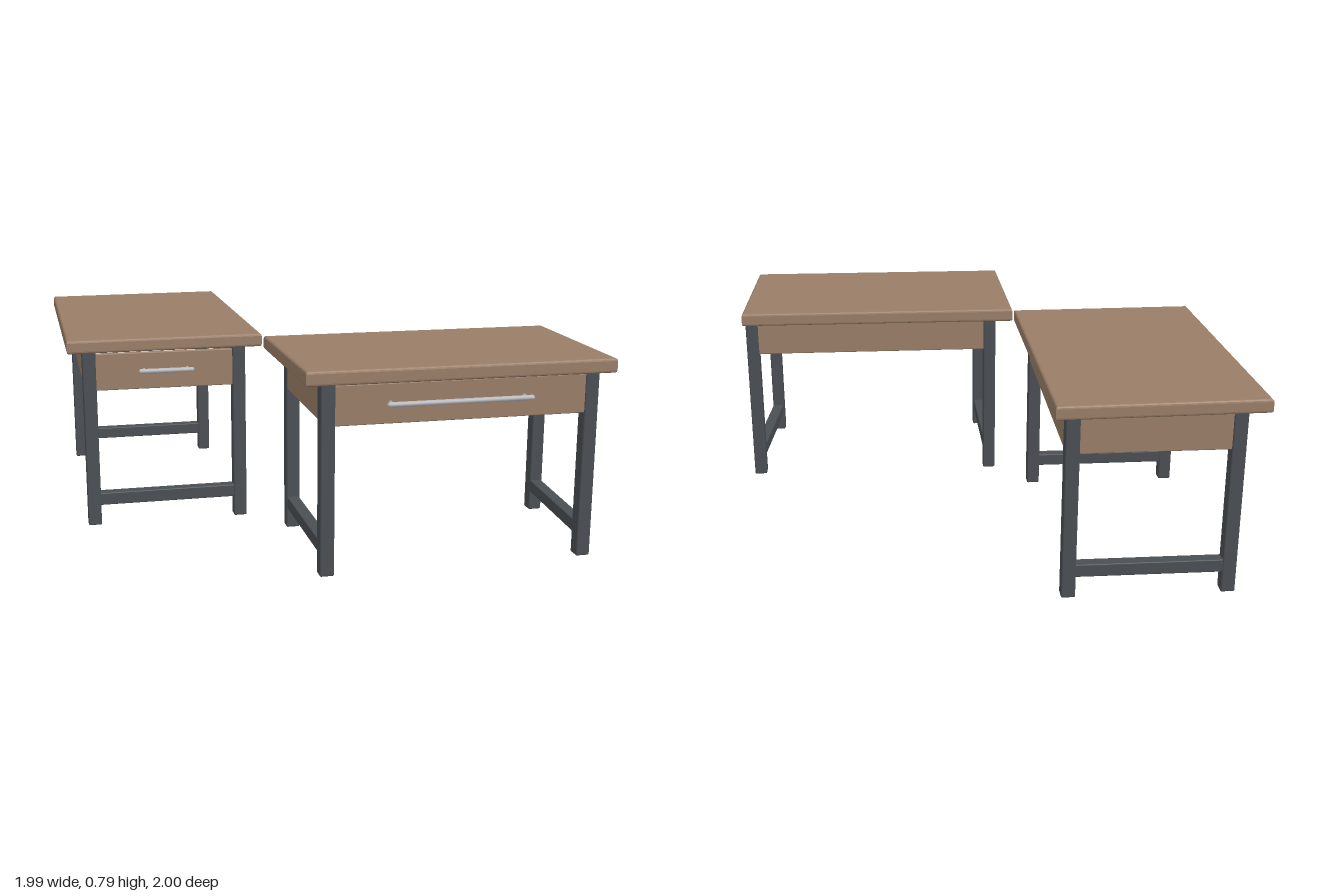
import * as THREE from 'three';
import { RoundedBoxGeometry } from 'three/addons/geometries/RoundedBoxGeometry.js';

const wood = new THREE.MeshStandardMaterial({ color: 0x997d67 });
wood.name = 'wood';
const darkSteel = new THREE.MeshStandardMaterial({ color: 0x4a4f54 });
darkSteel.name = 'dark steel';
const brightSteel = new THREE.MeshStandardMaterial({ color: 0xb4b5b8 });
brightSteel.name = 'bright steel';

const LEG = 0.054;

function add(group, name, geometry, material, x = 0, y = 0, z = 0) {
  const mesh = new THREE.Mesh(geometry, material);
  mesh.name = name;
  mesh.position.set(x, y, z);
  group.add(mesh);
  return mesh;
}

// Rounded bar spanning two floor points [x, z], from y0 to y1
function beam(group, name, a, b, y0, y1, thickness, material) {
  const dx = b[0] - a[0], dz = b[1] - a[1];
  const geo = new RoundedBoxGeometry(Math.hypot(dx, dz), y1 - y0, thickness, 2, 0.004);
  const mesh = add(group, name, geo, material, (a[0] + b[0]) / 2, (y0 + y1) / 2, (a[1] + b[1]) / 2);
  mesh.rotation.y = -Math.atan2(dz, dx);
}

// Slightly skewed slab with softened edges
function tableTop(group, corners, y0, y1) {
  const bevel = 0.01;
  const shape = new THREE.Shape(corners.map(([x, z]) => new THREE.Vector2(x, -z)));
  const geo = new THREE.ExtrudeGeometry(shape, {
    depth: y1 - y0 - 2 * bevel, bevelEnabled: true, bevelSize: bevel,
    bevelThickness: bevel, bevelOffset: -bevel, bevelSegments: 3,
  });
  geo.rotateX(-Math.PI / 2);
  add(group, 'tableTop', geo, wood, 0, y0 + bevel, 0);
}

// Drawer pull: horizontal bar on two short posts
function handle(group, x0, x1, y, faceZ, barZ) {
  const bar = new THREE.CapsuleGeometry(0.01, x1 - x0 - 0.02, 4, 12).rotateZ(Math.PI / 2);
  add(group, 'handleBar', bar, brightSteel, (x0 + x1) / 2, y, barZ);
  for (const x of [x0 + 0.025, x1 - 0.025]) {
    const post = new THREE.CylinderGeometry(0.006, 0.006, barZ - faceZ, 10).rotateX(Math.PI / 2);
    add(group, 'handlePost', post, brightSteel, x, y, (barZ + faceZ) / 2);
  }
}

// Corners and legs run: back right, back left, front left, front right
function desk(name, { corners, legs, under, top, pull }) {
  const group = new THREE.Group();
  group.name = name;
  tableTop(group, corners, under, top);

  for (const [x, z] of legs) {
    add(group, 'leg', new RoundedBoxGeometry(LEG, under, LEG, 2, 0.006), darkSteel, x, under / 2, z);
  }

  // Aprons around an open underside, nearly flush with the legs
  const [br, bl, fl, fr] = legs;
  const out = 0.012;
  const shift = ([x, z], dx, dz) => [x + dx, z + dz];
  beam(group, 'backApron', shift(br, 0, -out), shift(bl, 0, -out), 0.58, under, 0.022, wood);
  beam(group, 'leftApron', shift(bl, out, 0), shift(fl, out, 0), 0.58, under, 0.022, wood);
  beam(group, 'rightApron', shift(br, -out, 0), shift(fr, -out, 0), 0.58, under, 0.022, wood);

  // Drawer front, with a narrow gap below the top
  beam(group, 'drawerFront', shift(fr, 0, out), shift(fl, 0, out), 0.565, 0.715, 0.022, wood);
  handle(group, pull[0], pull[1], 0.645, pull[2] - 0.05, pull[2]);
  return group;
}

export function createModel() {
  const model = new THREE.Group();
  model.name = 'deskPair';

  const longLegs = [[-0.895, -0.915], [-0.287, -0.915], [-0.287, 0.15], [-0.893, 0.15]];
  const longDesk = desk('longDesk', {
    corners: [[-0.995, -0.98], [-0.215, -1], [-0.203, 0.24], [-0.98, 0.25]],
    legs: longLegs, under: 0.732, top: 0.785, pull: [-0.7, -0.475, 0.212],
  });

  const wideLegs = [[-0.103, 0.347], [0.957, 0.347], [0.91, 0.913], [-0.1, 0.913]];
  const wideDesk = desk('wideDesk', {
    corners: [[-0.2, 0.265], [0.993, 0.272], [0.975, 1], [-0.192, 0.99]],
    legs: wideLegs, under: 0.725, top: 0.78, pull: [0.105, 0.665, 0.978],
  });

  // Low stretchers join the legs at each short end
  for (const [i, j] of [[0, 1], [3, 2]]) {
    beam(longDesk, 'stretcher', longLegs[i], longLegs[j], 0.084, 0.135, 0.048, darkSteel);
  }
  for (const [i, j] of [[0, 3], [1, 2]]) {
    beam(wideDesk, 'stretcher', wideLegs[i], wideLegs[j], 0.08, 0.13, 0.048, darkSteel);
  }

  model.add(longDesk, wideDesk);
  return model;
}
